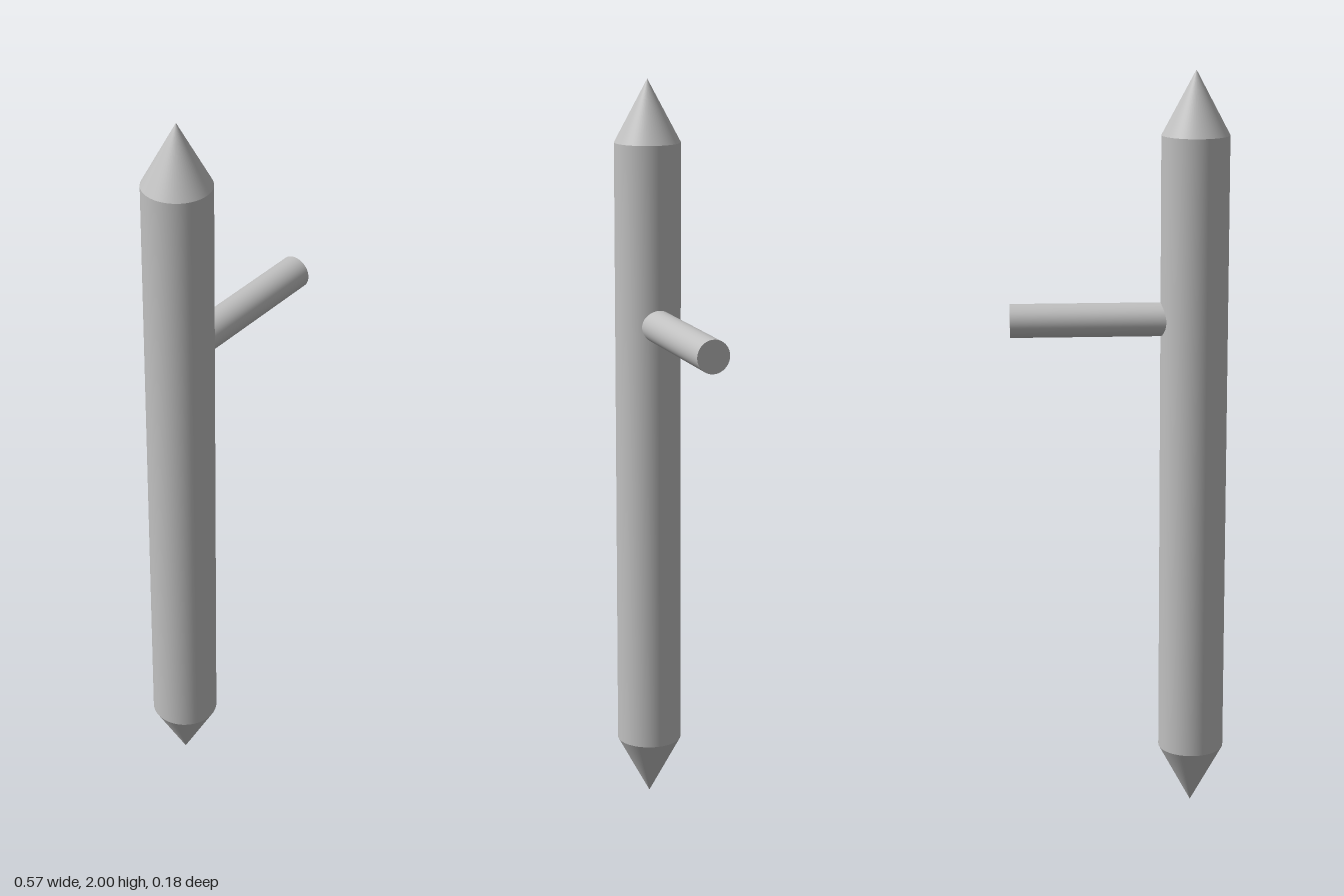
import * as THREE from 'three';

export function createModel() {
  const group = new THREE.Group();
  const grey = new THREE.MeshStandardMaterial({ color: 0xc0c0c0 });
  grey.name = 'grey';

  const axisX = -0.196, radius = 0.088, tipHeight = 0.165, segments = 64;
  const shaftHeight = 2 - 2 * tipHeight;

  const add = (name, geometry, x, y) => {
    const mesh = new THREE.Mesh(geometry, grey);
    mesh.name = name;
    mesh.position.set(x, y, 0);
    group.add(mesh);
    return mesh;
  };

  // Upright shaft, open where the tips close it
  add('shaft', new THREE.CylinderGeometry(radius, radius, shaftHeight, segments, 1, true), axisX, 1);

  // Pointed tips at both ends
  const tip = new THREE.ConeGeometry(radius, tipHeight, segments, 1, true);
  add('topTip', tip, axisX, 2 - tipHeight / 2);
  add('bottomTip', tip, axisX, tipHeight / 2).rotation.x = Math.PI;

  // Side peg, rooted just inside the shaft wall
  const pegStart = -0.125, pegEnd = 0.284;
  const peg = new THREE.CylinderGeometry(0.044, 0.044, pegEnd - pegStart, segments);
  add('sidePeg', peg, (pegStart + pegEnd) / 2, 1.357).rotation.z = -Math.PI / 2;

  return group;
}
